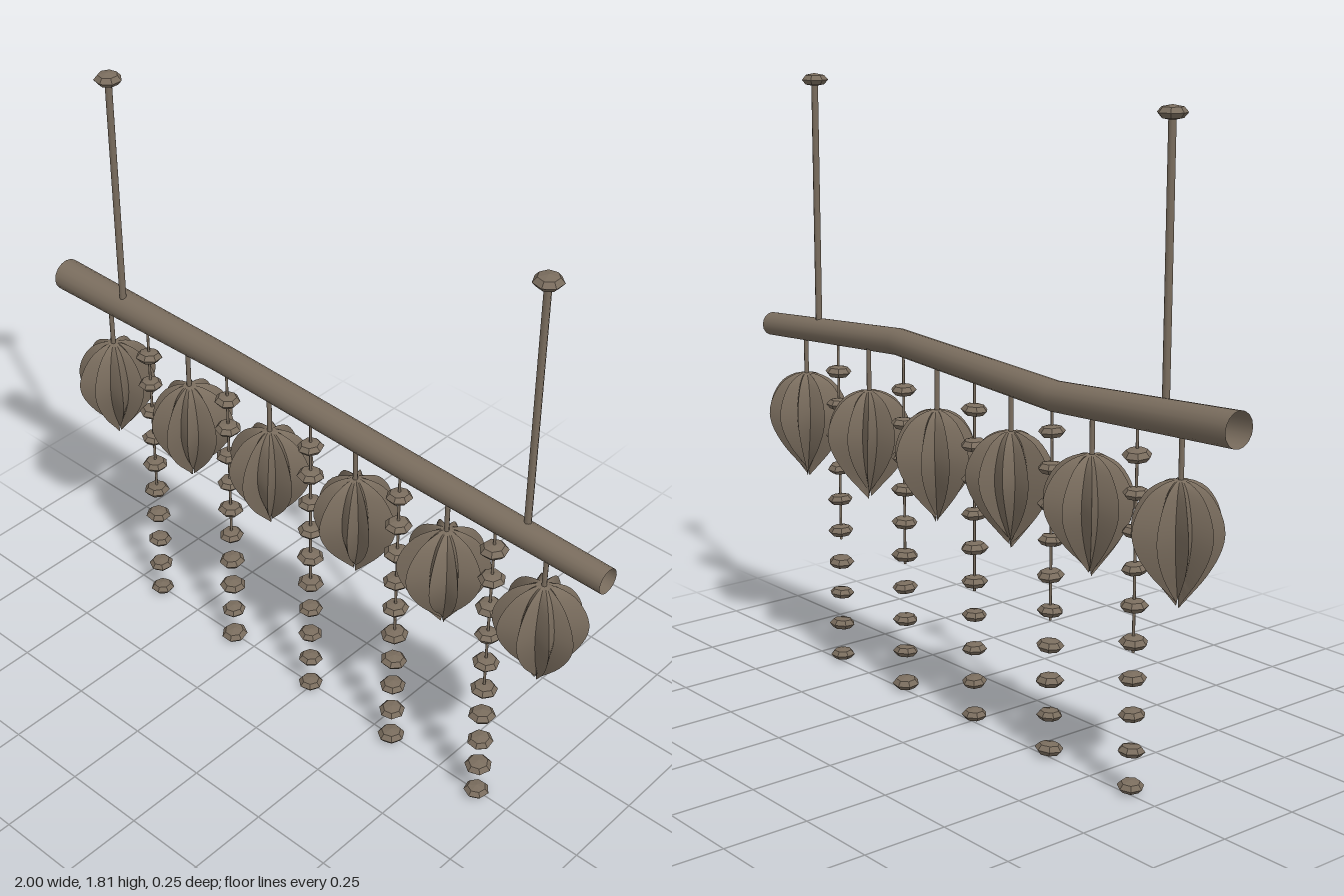
import * as THREE from 'three';
import { toCreasedNormals } from 'three/addons/utils/BufferGeometryUtils.js';

const wood = new THREE.MeshStandardMaterial({ color: 0x7a6d5e, side: THREE.DoubleSide });
wood.name = 'driedWood';

// Small seeded generator for natural variation
function seeded(seed) {
  let s = seed * 7919 + 17;
  return () => {
    s = (s * 16807) % 2147483647;
    return s / 2147483647;
  };
}

// Skin a series of closed rings of equal point count
function loft(rings, crease) {
  const n = rings[0].length;
  const index = [];
  for (let i = 0; i < rings.length - 1; i++) {
    for (let j = 0; j < n; j++) {
      const a = i * n + j, b = i * n + (j + 1) % n;
      index.push(a, b, a + n, b, b + n, a + n);
    }
  }
  const g = new THREE.BufferGeometry().setFromPoints(rings.flat());
  g.setIndex(index);
  return toCreasedNormals(g, crease);
}

function add(parent, name, geometry, x = 0, y = 0, z = 0) {
  const m = new THREE.Mesh(geometry, wood);
  m.name = name;
  m.position.set(x, y, z);
  parent.add(m);
  return m;
}

function rod(parent, name, radius, y0, y1, x, z) {
  const g = new THREE.CylinderGeometry(radius, radius, y1 - y0, 8);
  return add(parent, name, g, x, (y0 + y1) / 2, z);
}

// Hollow, gently bent and tapered pole: x, y, z, radius
function poleGeometry() {
  const stations = [
    [-1, 1.062, 0.005, 0.048], [-0.37, 1.037, -0.02, 0.042],
    [0.37, 1.062, 0.028, 0.04], [1, 1.026, 0.008, 0.036],
  ];
  const sides = 16;
  return loft(stations.map(([x, y, z, r]) => Array.from({ length: sides }, (_, j) => {
    const a = j / sides * Math.PI * 2;
    return new THREE.Vector3(x, y + r * Math.cos(a), z + r * Math.sin(a));
  })), 0.6);
}

// Pod with sharp ribs and deep valleys, its ribs gathering to ragged tips
function podGeometry(seed) {
  const rand = seeded(seed);
  const outline = new THREE.SplineCurve([
    [0.002, 0.9], [0.035, 0.897], [0.08, 0.872], [0.113, 0.825], [0.125, 0.775],
    [0.112, 0.725], [0.078, 0.67], [0.038, 0.625], [0.004, 0.59],
  ].map(p => new THREE.Vector2(...p))).getPoints(24);
  const ribs = 10;
  const columns = Array.from({ length: ribs * 2 }, (_, j) => {
    const ridge = j % 2 === 0;
    return {
      angle: (j + (rand() - 0.5) * 0.6) / (ribs * 2) * Math.PI * 2,
      size: ridge ? 0.92 + rand() * 0.14 : 0.52 + rand() * 0.12,
      drop: ridge ? rand() * 0.035 - 0.01 : 0,
      twist: (rand() - 0.5) * 0.3,
    };
  });
  return loft(outline.map((p, i) => {
    const t = i / (outline.length - 1);
    return columns.map(c => {
      const a = c.angle + c.twist * t * t;
      const r = Math.max(p.x, 0.002) * c.size;
      return new THREE.Vector3(r * Math.cos(a), p.y - c.drop * t * t, r * Math.sin(a));
    });
  }), 0.7);
}

// Squat faceted bead
function beadGeometry() {
  const g = new THREE.SphereGeometry(0.04, 7, 4).toNonIndexed();
  g.scale(1, 0.48, 1);
  g.computeVertexNormals();
  return g;
}

export function createModel() {
  const model = new THREE.Group();
  model.name = 'hangingPodGarland';
  const bead = beadGeometry();
  const rand = seeded(5);

  add(model, 'pole', poleGeometry());

  // Hanging rods with end knobs
  for (const x of [-0.747, 0.747]) {
    const hanger = new THREE.Group();
    hanger.name = 'hanger';
    model.add(hanger);
    rod(hanger, 'hangerRod', 0.01, 1.04, 1.79, x, 0.01);
    add(hanger, 'hangerKnob', bead, x, 1.797, 0.01);
  }

  // Ribbed pods on short stems
  for (let i = 0; i < 6; i++) {
    const x = -0.811 + i * 0.3244;
    const pod = new THREE.Group();
    pod.name = 'pod';
    model.add(pod);
    rod(pod, 'podStem', 0.007, 0.88, 1.04, x, 0.005);
    add(pod, 'podBody', podGeometry(i + 3), x, 0, 0.003).rotation.y = i * 1.1;
  }

  // Beaded strands between the pods
  for (let i = 0; i < 5; i++) {
    const x = (i - 2) * 0.3244;
    const strand = new THREE.Group();
    strand.name = 'beadStrand';
    model.add(strand);
    rod(strand, 'strandCord', 0.004, 0.4, 1.04, x, 0.01);
    for (let k = 0; k < 10; k++) {
      const b = add(strand, 'bead', bead, x, 0.027 + k * 0.1002, 0.01);
      b.rotation.set((rand() - 0.5) * 0.15, rand() * 6, (rand() - 0.5) * 0.15);
      b.scale.setScalar(0.92 + rand() * 0.1);
    }
  }
  return model;
}
